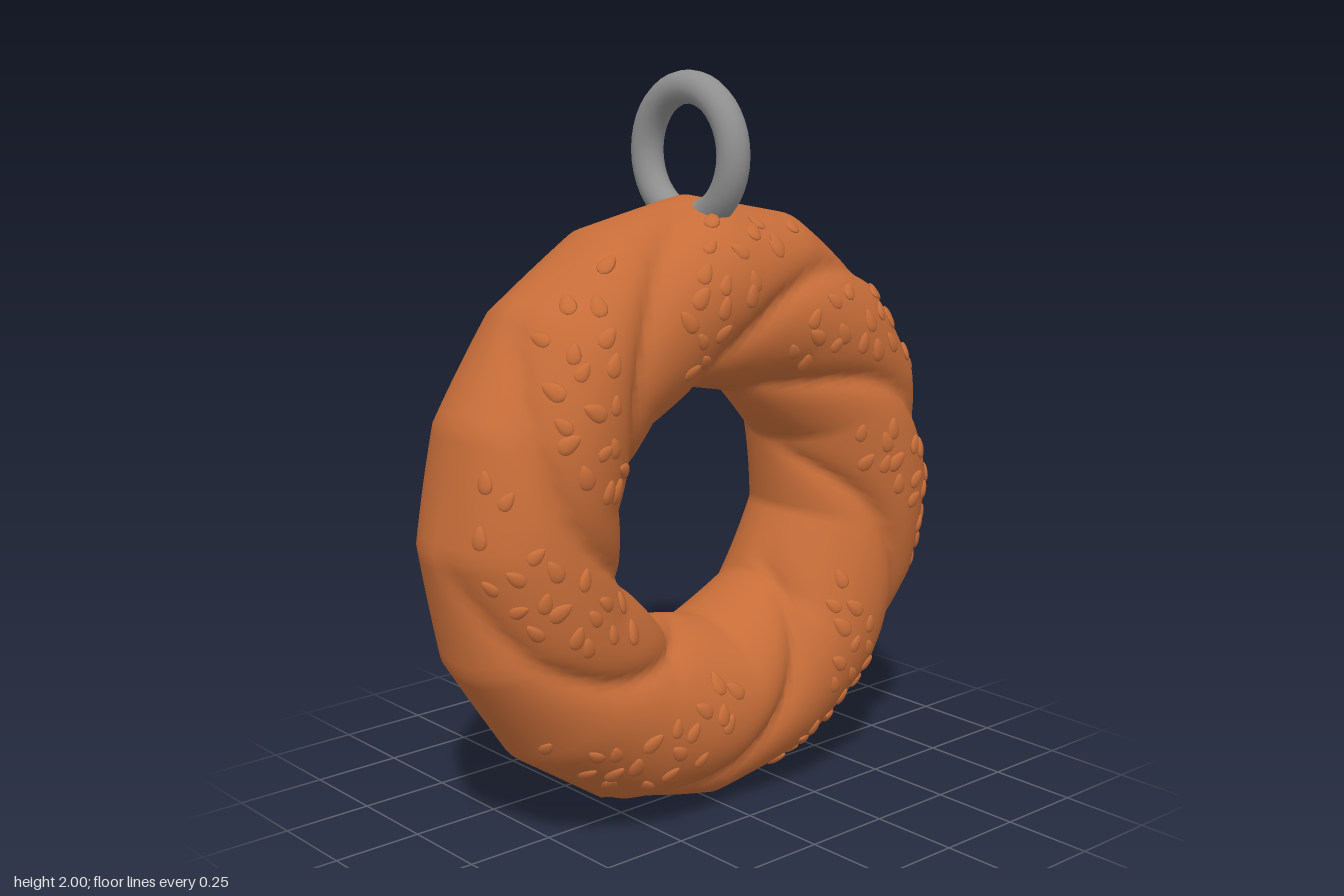
import * as THREE from 'three';
import { mergeVertices } from 'three/addons/utils/BufferGeometryUtils.js';

const RAD = Math.PI / 180, TAU = Math.PI * 2;
const CENTER_Y = 0.837, RING_R = 0.58, TUBE_R = 0.258;

// Angle of each twist groove where it crosses the front of the ring, in degrees
const GROOVES = [28, 74, 124, 169, 214, 280, 340];
const twist = (phi) => 0.43 * (phi - 80 * RAD);

// Ratio of a regular polygon's radius to its circumscribed circle
function polygon(theta, sides) {
  const step = TAU / sides;
  const local = ((theta % step) + step) % step - step / 2;
  return Math.cos(step / 2) / Math.cos(local);
}

// Dough surface: theta runs round the ring, phi round the tube (90 degrees = front)
function surface(theta, phi) {
  let r = TUBE_R;
  const s = Math.sin(phi), c = Math.cos(phi);
  if (s > 0) {
    let near = Infinity;
    for (const g of GROOVES) {
      const d = theta - g * RAD - twist(phi);
      near = Math.min(near, Math.abs(Math.atan2(Math.sin(d), Math.cos(d))));
    }
    r -= 0.05 * Math.pow(s, 0.7) * Math.exp(-near / 0.11);
  }
  const facet = c > 0
    ? 1 + c * (polygon(theta, 16) - 1)
    : 1 - c * (polygon(theta + 0.2, 10) * 1.03 - 1);
  const rho = (RING_R + r * c) * facet;
  return new THREE.Vector3(rho * Math.cos(theta), rho * Math.sin(theta), r * s);
}

function doughGeometry() {
  let geo = new THREE.TorusGeometry(RING_R, TUBE_R, 48, 160);
  geo.deleteAttribute('uv');
  geo.deleteAttribute('normal');
  geo = mergeVertices(geo, 1e-4);
  const p = geo.attributes.position;
  for (let i = 0; i < p.count; i++) {
    const theta = Math.atan2(p.getY(i), p.getX(i));
    const phi = Math.atan2(p.getZ(i), Math.hypot(p.getX(i), p.getY(i)) - RING_R);
    const q = surface(theta, phi);
    p.setXYZ(i, q.x, q.y, q.z);
  }
  geo.computeVertexNormals();
  return geo;
}

// Flat teardrop, pointed towards +y
function seedGeometry() {
  const geo = new THREE.SphereGeometry(1, 10, 8);
  const p = geo.attributes.position;
  for (let i = 0; i < p.count; i++) {
    const y = p.getY(i);
    p.setXYZ(i, p.getX(i) * 0.019 * (1 - 0.35 * y), y * 0.03, p.getZ(i) * 0.009);
  }
  geo.computeVertexNormals();
  return geo;
}

function seededRandom(seed) {
  return () => {
    seed = (seed * 16807) % 2147483647;
    return seed / 2147483647;
  };
}

export function createModel() {
  const model = new THREE.Group();
  model.name = 'twistedBagelCharm';

  const crust = new THREE.MeshStandardMaterial({ color: 0xc76d39 });
  crust.name = 'bakedCrust';
  const metal = new THREE.MeshStandardMaterial({ color: 0x909090 });
  metal.name = 'greyMetal';

  // Twisted dough ring
  const dough = new THREE.Mesh(doughGeometry(), crust);
  dough.name = 'doughRing';
  dough.position.y = CENTER_Y;
  model.add(dough);

  // Seeds scattered along each ridge between two grooves
  const seeds = new THREE.Group();
  seeds.name = 'seeds';
  seeds.position.y = CENTER_Y;
  model.add(seeds);
  const seedGeo = seedGeometry();
  const random = seededRandom(41);
  GROOVES.forEach((g, k) => {
    const next = k + 1 < GROOVES.length ? GROOVES[k + 1] : GROOVES[0] + 360;
    const middle = (g + next) / 2;
    for (let row = 0; row < 7; row++) {
      const columns = row < 5 ? 3 : 2;
      for (let col = 0; col < columns; col++) {
        const phi = (32 + row * 14.5 + (random() - 0.5) * 10) * RAD;
        const across = (col - (columns - 1) / 2) * 9 + (random() - 0.5) * 4;
        const theta = (middle + across) * RAD + twist(phi) * 0.8;
        const at = surface(theta, phi);
        const e = 0.02;
        const along = surface(theta + e, phi).sub(at);
        const normal = along.clone().cross(surface(theta, phi + e).sub(at)).normalize();
        const seed = new THREE.Mesh(seedGeo, crust);
        seed.name = 'seed';
        seed.position.copy(at).addScaledVector(normal, 0.001);
        seed.quaternion.setFromUnitVectors(new THREE.Vector3(0, 0, 1), normal);
        seed.rotateZ((random() - 0.5) * 2.2);
        seed.scale.setScalar(0.85 + random() * 0.3);
        seeds.add(seed);
      }
    }
  });

  // Hanging loop, sunk into the top of the dough
  const loop = new THREE.Mesh(new THREE.TorusGeometry(0.171, 0.044, 16, 40), metal);
  loop.name = 'hangingLoop';
  loop.rotation.y = Math.PI / 2;
  loop.position.y = 1.785;
  model.add(loop);

  return model;
}
